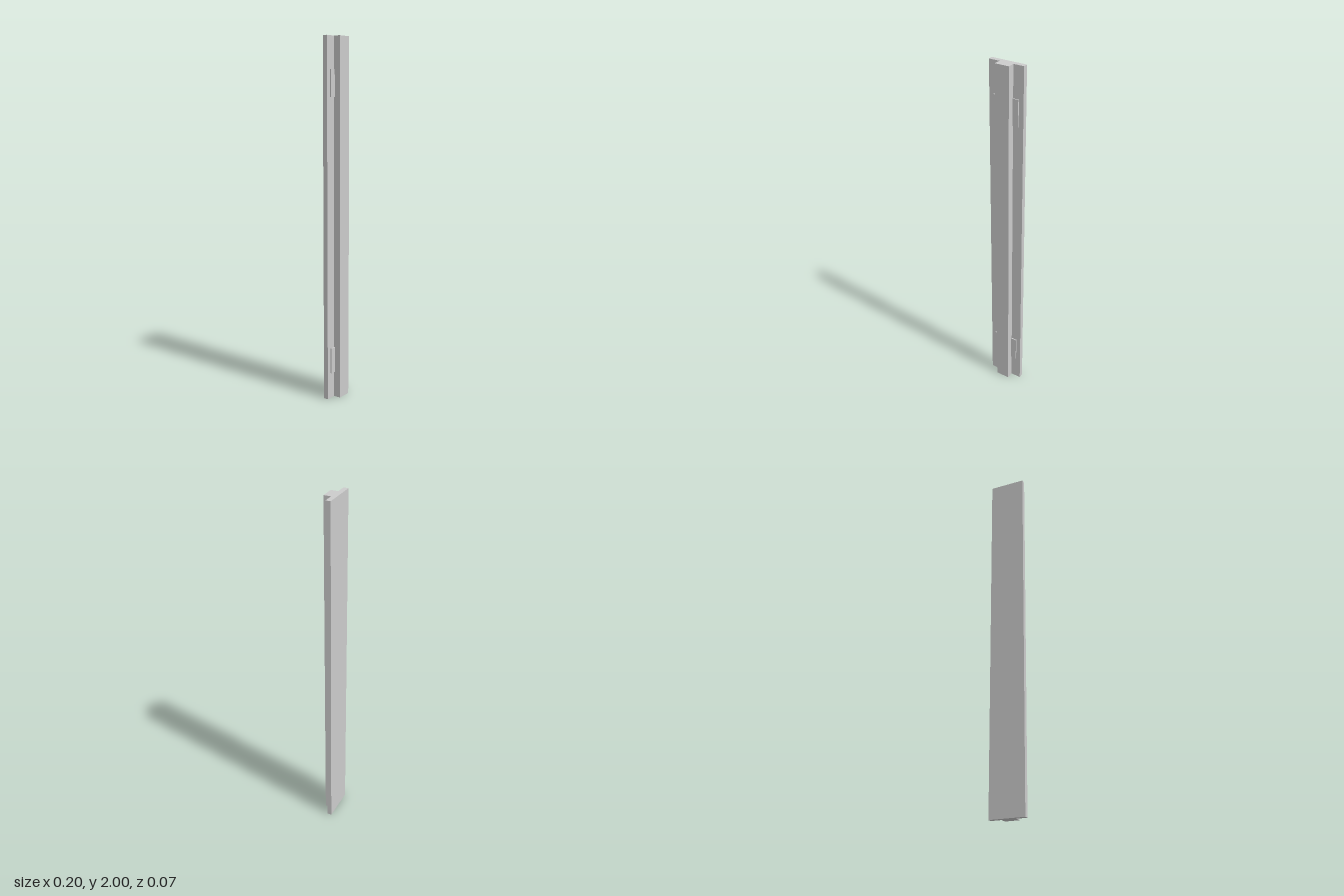
import * as THREE from 'three';

export function createModel() {
  const group = new THREE.Group();
  const material = new THREE.MeshStandardMaterial({ color: 0xcccccc, flatShading: true });

  // Box given by its extents along each axis
  function addBox(name, [x0, x1], [y0, y1], [z0, z1]) {
    const mesh = new THREE.Mesh(new THREE.BoxGeometry(x1 - x0, y1 - y0, z1 - z0), material);
    mesh.position.set((x0 + x1) / 2, (y0 + y1) / 2, (z0 + z1) / 2);
    mesh.name = name;
    group.add(mesh);
  }

  const plateFront = -0.007;

  // Wide flat board at the back and the narrower rib along its front
  addBox('backBoard', [-0.1, 0.1], [0, 2], [-0.034, plateFront]);
  addBox('frontRib', [-0.04, 0.04], [0, 2], [plateFront, 0.033]);

  // Thin plates beside the rib, near the bottom and the top
  for (const [level, y] of [['lower', 0.146], ['upper', 1.681]]) {
    addBox(level + 'LeftPlate', [0.04, 0.073], [y, y + 0.145], [plateFront, -0.001]);
    addBox(level + 'RightPlate', [-0.073, -0.04], [y, y + 0.145], [plateFront, -0.001]);
  }

  return group;
}
